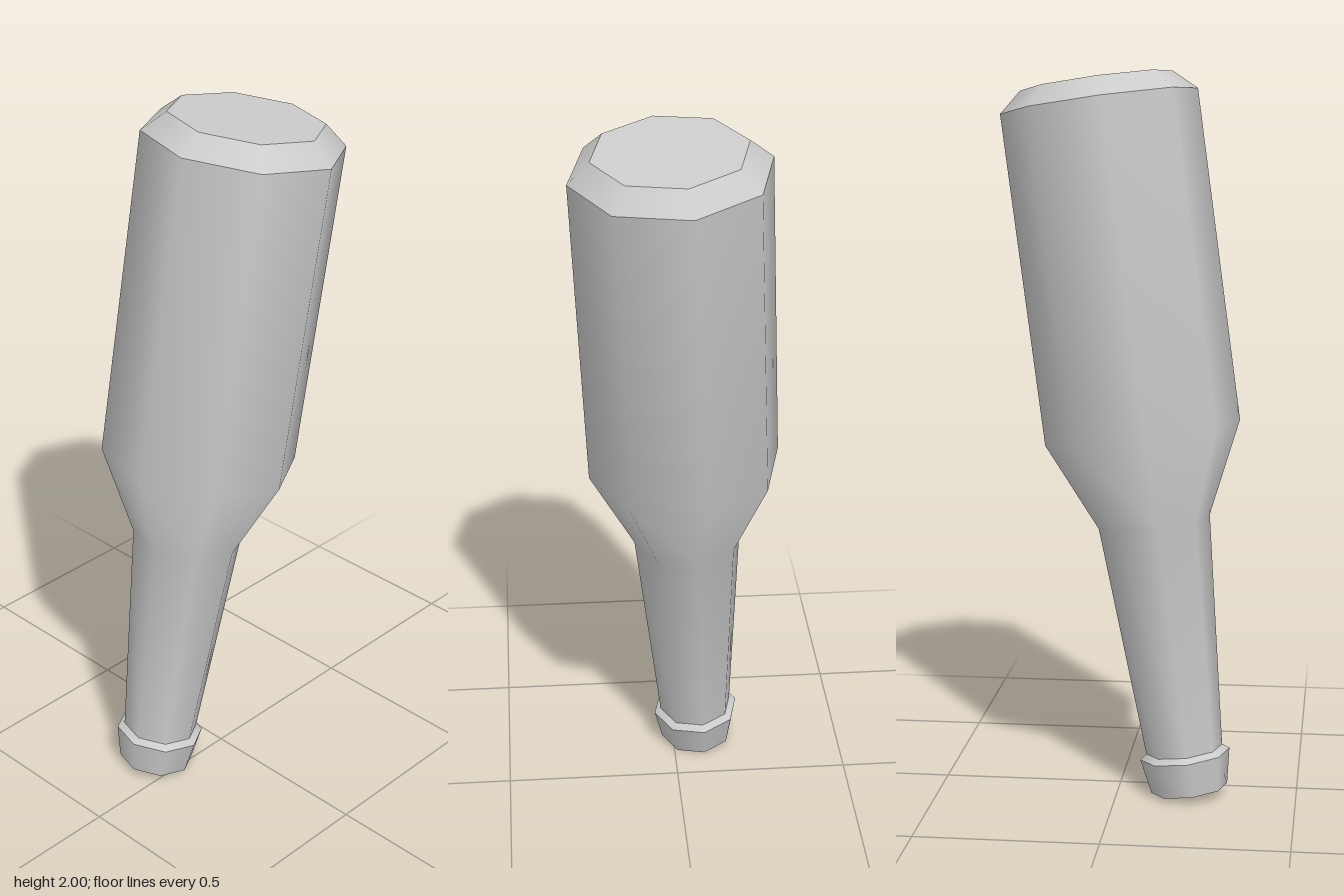
import * as THREE from 'three';

const SIDES = 8;
const material = new THREE.MeshStandardMaterial({ color: 0xcccccc, side: THREE.DoubleSide });

// One smooth band of the bottle; separate bands keep the edges between them sharp.
function band(name, profile) {
  const points = profile.map(([r, y]) => new THREE.Vector2(r, y));
  const mesh = new THREE.Mesh(
    new THREE.LatheGeometry(points, SIDES, THREE.MathUtils.degToRad(8)), material);
  mesh.name = name;
  return mesh;
}

export function createModel() {
  const bottle = new THREE.Group();
  bottle.name = 'bottle';

  // The bottle stands on its mouth: heights run from the mouth up to the base.
  const mouthInner = [0.08, 0.016], mouthOuter = [0.107, 0.016];
  const recess = [0.075, 0.116];
  const lipEdge = [0.126, 0.114], neckEnd = [0.107, 0.128];
  const baseEdge = [0.271, 1.938], baseInner = [0.209, 1.993];

  bottle.add(
    band('mouthFloor', [[0, recess[1]], recess]),
    band('mouthWall', [recess, mouthInner]),
    band('mouthRim', [mouthInner, mouthOuter]),
    band('lip', [mouthOuter, lipEdge]),
    band('lipShoulder', [lipEdge, neckEnd]),
    band('body', [neckEnd, [0.155, 0.776], [0.271, 1.026], baseEdge]),
    band('baseBevel', [baseEdge, baseInner]),
    band('base', [baseInner, [0, baseInner[1]]]),
  );

  // Lean the whole bottle to one side and slightly forward.
  const axis = new THREE.Vector3(0.1386, 1, 0.05).normalize();
  bottle.quaternion.setFromUnitVectors(new THREE.Vector3(0, 1, 0), axis);
  bottle.position.set(-0.204, 0, -0.074);

  const model = new THREE.Group();
  model.name = 'tiltedBottle';
  model.add(bottle);
  return model;
}
